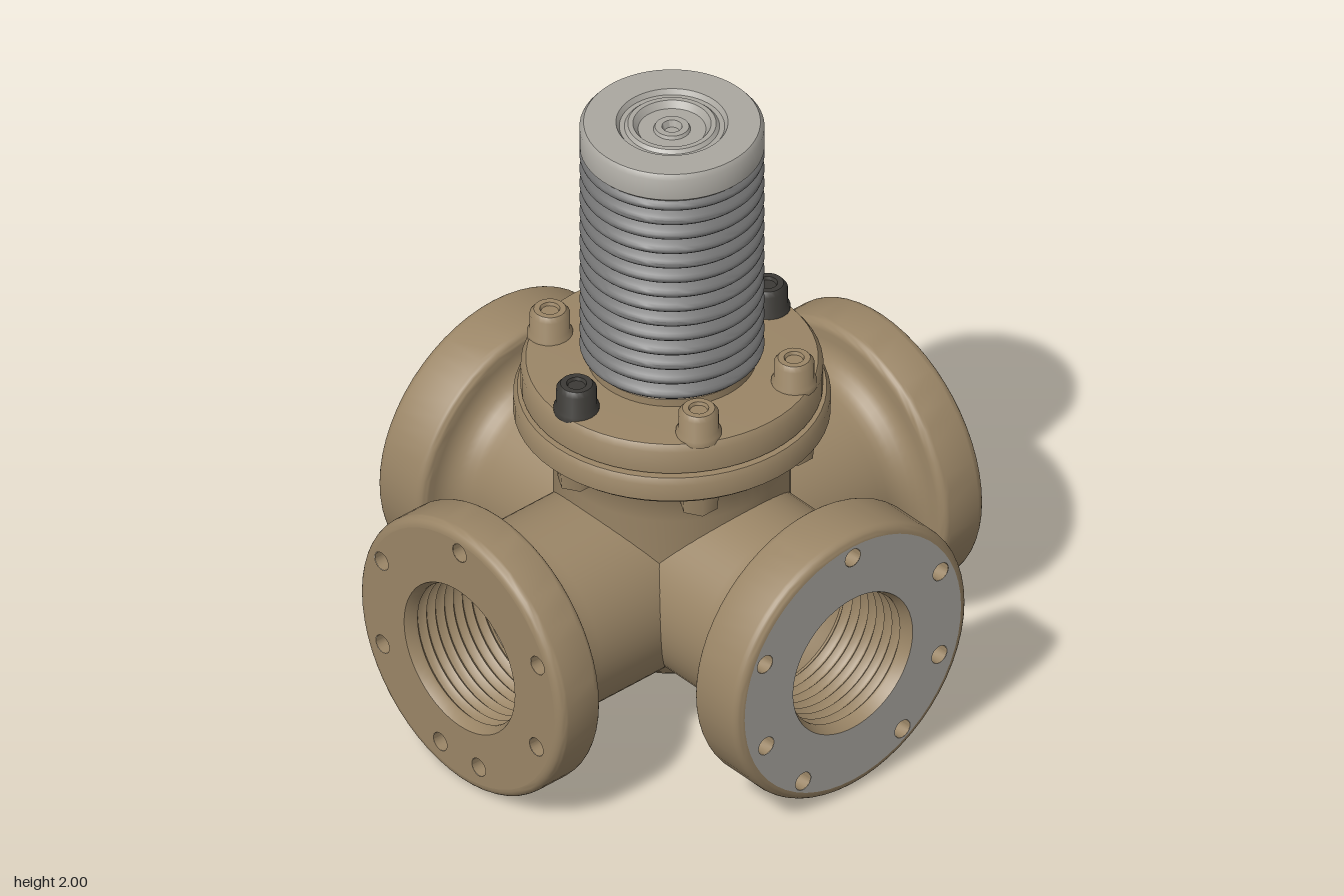
import * as THREE from 'three';
import { toCreasedNormals } from 'three/addons/utils/BufferGeometryUtils.js';

const paint = (color) => new THREE.MeshStandardMaterial({ color });
const bronze = paint(0x9a8566);
const bareMetal = paint(0xaaa7a0);
const darkSteel = paint(0x707070);
const blackBolt = paint(0x3c3a36);

const lathe = (pts, segments = 56) => toCreasedNormals(
  new THREE.LatheGeometry(pts.map(([r, y]) => new THREE.Vector2(r, y)), segments), 0.75);

function add(parent, name, geometry, material, x = 0, y = 0, z = 0) {
  const mesh = new THREE.Mesh(geometry, material);
  mesh.name = name;
  mesh.position.set(x, y, z);
  parent.add(mesh);
  return mesh;
}

// Points of a quarter round from angle a0 to a1
function arc(cx, cy, r, a0, a1, n = 6) {
  return Array.from({ length: n + 1 }, (_, i) => {
    const a = a0 + (a1 - a0) * i / n;
    return [cx + r * Math.cos(a), cy + r * Math.sin(a)];
  });
}

// One pipe with flange, threaded blind bore and bolt holes, pointing along +z
function createPort({ length, flangeStart, flangeR, pipeR, boreR, faceMaterial, holes }) {
  const port = new THREE.Group();
  const Q = Math.PI / 2;
  const round = 0.03;

  const shell = lathe([
    [pipeR, 0], [pipeR, flangeStart - 0.12],
    ...arc(pipeR + 0.09, flangeStart - 0.09, 0.09, Math.PI, Q),
    ...arc(flangeR - round, flangeStart + round, round, -Q, 0),
    ...arc(flangeR - round, length - round, round, 0, Q),
  ]);
  add(port, 'pipeAndFlange', shell.rotateX(Q), bronze);

  // Flat sealing face pierced by the bore and the bolt holes
  const face = new THREE.Shape().absarc(0, 0, flangeR - round, 0, Math.PI * 2);
  face.holes.push(new THREE.Path().absarc(0, 0, boreR, 0, Math.PI * 2, true));
  for (const [x, y] of holes) {
    face.holes.push(new THREE.Path().absarc(x, y, 0.03, 0, Math.PI * 2, true));
    const cup = lathe([[0.03, 0], [0.028, -0.05], [0, -0.06]], 14).rotateX(Q);
    add(port, 'boltHole', cup, bronze, x, y, length);
  }
  add(port, 'flangeFace', new THREE.ShapeGeometry(face, 28), faceMaterial, 0, 0, length);

  // Threaded bore with a shallow dished floor
  const bore = [[boreR, 0], [boreR - 0.015, -0.03]];
  for (let i = 0; i < 8; i++) {
    const d = -0.04 - i * 0.035;
    bore.push([boreR - 0.015, d], [boreR - 0.002, d - 0.012], [boreR - 0.002, d - 0.02]);
  }
  bore.push([boreR - 0.03, -0.33], [boreR - 0.06, -0.36], [0.13, -0.385],
    [0.085, -0.39], [0.08, -0.4], [0, -0.405]);
  add(port, 'threadedBore', lathe(bore).rotateX(Q), bronze, 0, 0, length);
  return port;
}

export function createModel() {
  const model = new THREE.Group();
  model.name = 'valve';

  // Four ports
  const holes = [[0, 0.385], [-0.345, 0.165], [0.345, 0.165], [-0.34, -0.135], [0.34, -0.135]];
  const frontPort = {
    length: 0.835, flangeStart: 0.67, flangeR: 0.45, pipeR: 0.305, boreR: 0.245,
    faceMaterial: bronze, holes: [...holes, [-0.085, -0.35], [0.085, -0.35]],
  };
  const sidePort = {
    length: 0.8, flangeStart: 0.6, flangeR: 0.455, pipeR: 0.315, boreR: 0.235,
    faceMaterial: bareMetal, holes: [...holes, [-0.195, -0.335], [0.195, -0.335]],
  };
  ['frontPort', 'leftPort', 'backPort', 'rightPort'].forEach((name, i) => {
    const port = createPort(i % 2 ? sidePort : frontPort);
    port.name = name;
    port.position.y = i % 2 ? 0.465 : 0.45;
    port.rotation.y = i * Math.PI / 2;
    model.add(port);
  });

  // Central chamber with rounded belly and neck
  add(model, 'chamber', lathe([
    ...arc(0, 0.42, 0.35, -Math.PI / 2, 0, 14),
    [0.35, 0.8], [0.36, 0.9], [0.4, 0.955],
  ]), bronze);

  // Bonnet: lower and upper plates
  add(model, 'bonnetLowerPlate', lathe([
    [0.3, 0.945], [0.45, 0.945], [0.467, 0.96], [0.467, 1.015], [0.455, 1.035], [0.3, 1.035],
  ]), bronze);
  add(model, 'bonnetUpperPlate', lathe([
    [0.3, 1.03], [0.425, 1.03], [0.445, 1.045], [0.445, 1.12], [0.43, 1.14],
    [0.3, 1.145], [0, 1.145],
  ]), bronze);

  // Six bolts with nuts below
  for (let i = 0; i < 6; i++) {
    const a = i * Math.PI / 3;
    const x = 0.38 * Math.sin(a);
    const z = 0.375 * Math.cos(a);
    const head = lathe([
      [0.068, 1.13], [0.068, 1.15], [0.06, 1.16], [0.06, 1.215], [0.048, 1.23],
      [0.03, 1.23], [0.026, 1.22], [0, 1.22],
    ], 20);
    add(model, 'bonnetBolt', head, i % 3 ? bronze : blackBolt, x, 0, z);
    add(model, 'bonnetNut', new THREE.CylinderGeometry(0.065, 0.058, 0.08, 6), bronze, x, 0.915, z);
  }

  // Bellows on a plain collar
  add(model, 'bellowsCollar', lathe([
    [0.25, 1.14], [0.25, 1.17], [0.235, 1.18], [0.235, 1.22],
  ]), bronze);
  const folds = 14;
  const bottom = 1.17;
  const pitch = (1.91 - bottom) / folds;
  const ridges = [];
  for (let i = 0; i <= folds * 8; i++) {
    const wave = Math.abs(Math.sin(Math.PI * i / 8));
    ridges.push([0.243 + 0.029 * wave, bottom + pitch * i / 8]);
  }
  add(model, 'bellows', lathe(ridges), darkSteel);

  // End cap with ring groove and centre recess
  add(model, 'endCap', lathe([
    [0.24, 1.905], [0.262, 1.905], [0.272, 1.915], [0.272, 1.985], [0.26, 2],
    [0.165, 2], [0.155, 1.985], [0.14, 1.985], [0.13, 1.995], [0.115, 1.995], [0.1, 1.975],
    [0.055, 1.975], [0.05, 1.985], [0.03, 1.985], [0.022, 1.965], [0, 1.965],
  ]), bareMetal);
  return model;
}
